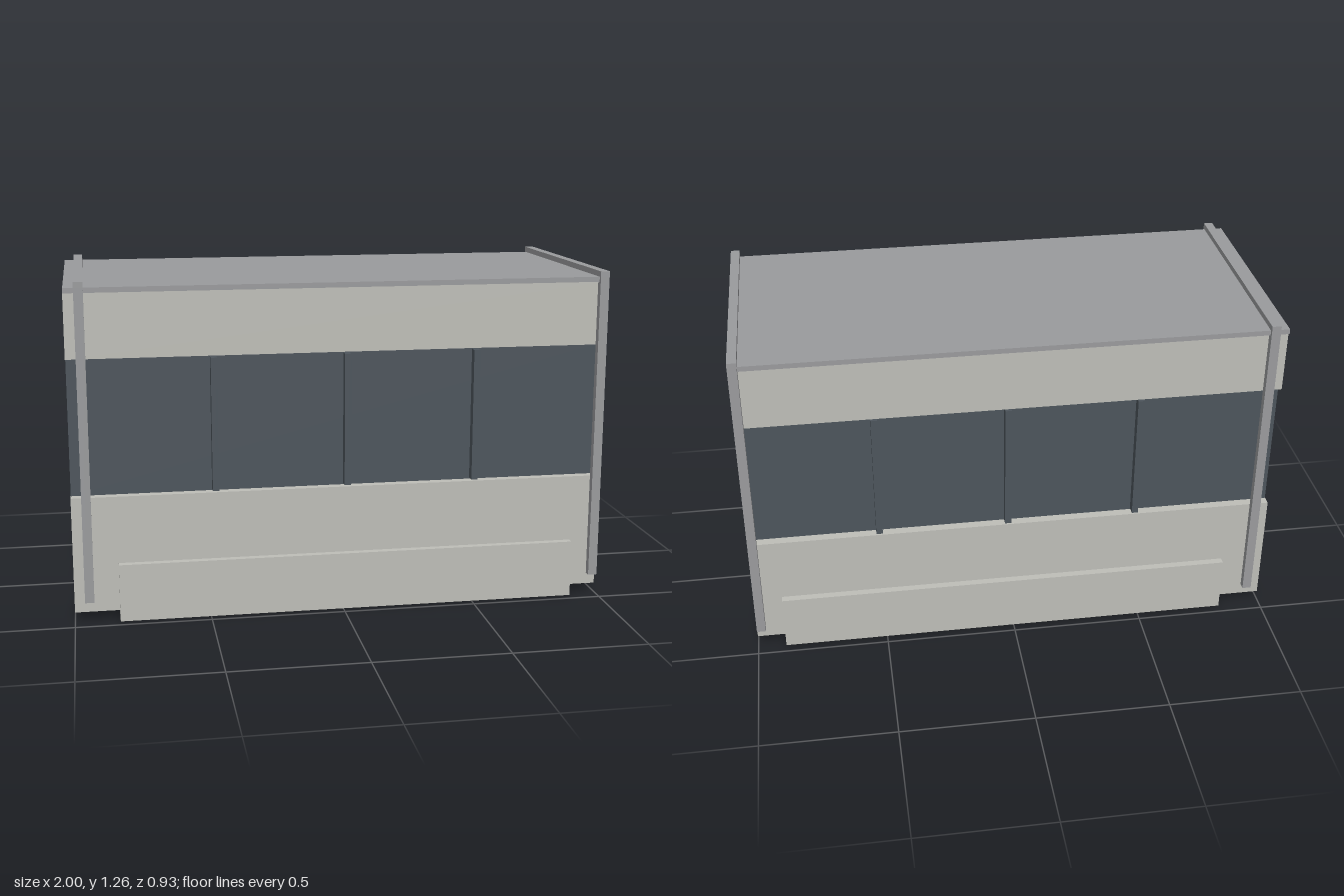
import * as THREE from 'three';

export function createModel() {
  const model = new THREE.Group();
  model.name = 'passengerSection';

  const mat = (name, color) => {
    const m = new THREE.MeshStandardMaterial({ color });
    m.name = name;
    return m;
  };
  const shell = mat('light grey shell', 0xbebeb8);
  const metal = mat('mid grey metal', 0x9a9b9d);
  const glass = mat('dark window', 0x4d555c);

  // Box given by its extents on each axis
  const box = (name, material, [x0, x1], [y0, y1], [z0, z1], parent = model) => {
    const geo = new THREE.BoxGeometry(x1 - x0, y1 - y0, z1 - z0);
    const mesh = new THREE.Mesh(geo, material);
    mesh.position.set((x0 + x1) / 2, (y0 + y1) / 2, (z0 + z1) / 2);
    mesh.name = name;
    parent.add(mesh);
    return mesh;
  };
  // Depth range mirrored to the front (+1) or back (-1) side
  const depth = (side, near, far) => (side > 0 ? [near, far] : [-far, -near]);

  // Floor block with outer skirts, and the step plate overhanging its end
  box('floor', shell, [-0.835, 0.893], [0, 0.217], [-0.465, 0.465]);
  box('stepPlate', metal, [-0.998, -0.77], [0.215, 0.223], [-0.36, 0.36]);

  // Side walls: lower panel, window band with mullions, upper panel
  for (const side of [1, -1]) {
    const wall = new THREE.Group();
    wall.name = side > 0 ? 'frontWall' : 'backWall';
    model.add(wall);
    const thick = depth(side, 0.36, 0.438);
    box('lowerPanel', shell, [-1, 1], [0.035, 0.47], thick, wall);
    box('upperPanel', shell, [-1, 1], [0.98, 1.218], thick, wall);
    box('windowPane', glass, [-0.999, 0.999], [0.47, 0.98], depth(side, 0.396, 0.404), wall);
    for (const x of [-0.472, 0.02, 0.508]) {
      box('mullion', glass, [x - 0.012, x + 0.012], [0.475, 0.972], depth(side, 0.357, 0.438), wall);
    }
  }

  // Ceiling slab and roof skin
  box('ceiling', shell, [-1, 1], [1.145, 1.218], [-0.36, 0.36]);
  box('roof', metal, [-0.999, 0.999], [1.218, 1.237], [-0.452, 0.452]);

  // Hoops around both ends
  for (const [x0, x1] of [[-0.962, -0.928], [0.966, 1]]) {
    const hoop = new THREE.Group();
    hoop.name = 'endHoop';
    model.add(hoop);
    box('hoopTop', metal, [x0, x1], [1.237, 1.258], [-0.464, 0.464], hoop);
    for (const side of [1, -1]) {
      box('hoopPost', metal, [x0, x1], [0.078, 1.237], depth(side, 0.438, 0.464), hoop);
    }
  }

  // Small interior fittings
  box('ceilingPanel', shell, [0.52, 0.73], [1.129, 1.138], [-0.045, 0.047]);
  box('wallPanel', shell, [-0.05, 0.05], [1.045, 1.095], [-0.36, -0.352]);

  return model;
}
